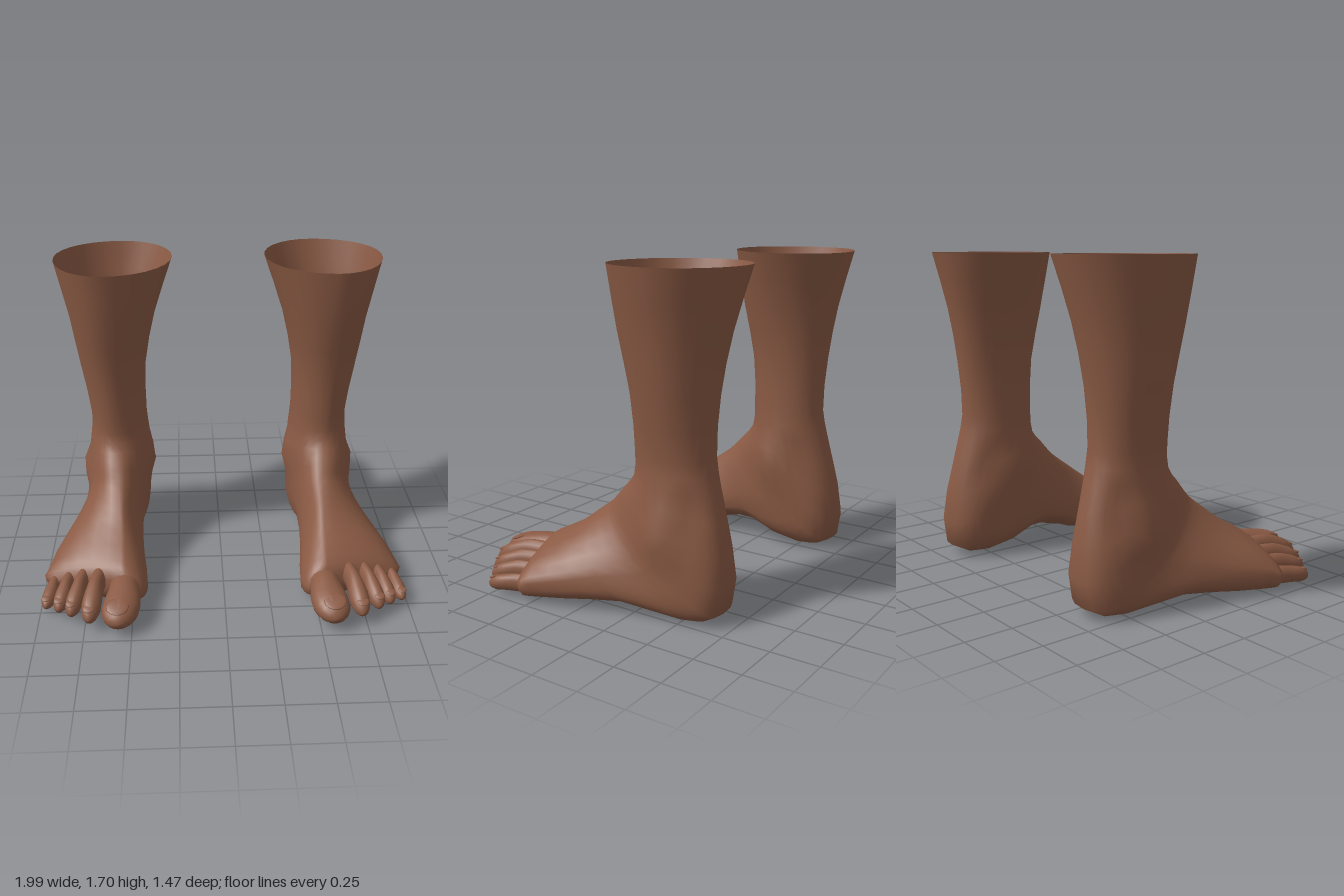
import * as THREE from 'three';

const SEG = 28;
const { smoothstep } = THREE.MathUtils;
const skin = new THREE.MeshStandardMaterial({ color: 0x8a5a44, side: THREE.DoubleSide });

// Key sections from the open leg top to the toe roots, each spanning a front point A to a back point B:
// [Ay, Az, By, Bz, inner x, outer x]
const KEYS = [
  [1.71, -.06, 1.71, -.735, .255, .905],
  [1.40, -.10, 1.40, -.655, .36, .835],
  [1.10, -.16, 1.10, -.605, .42, .79],
  [.80, -.175, .80, -.59, .425, .745],
  [.68, -.165, .65, -.62, .415, .755],
  [.60, -.095, .36, -.69, .415, .775],
  [.54, -.04, .06, -.68, .42, .785],
  [.50, 0, .015, -.52, .43, .80],
  [.43, .095, .05, -.22, .45, .86],
  [.345, .21, .02, .10, .445, .95],
  [.255, .375, .01, .36, .42, .995],
  [.205, .435, .04, .43, .45, .975],
  [.14, .455, .09, .455, .50, .93],
];
const through = (pick) => new THREE.CatmullRomCurve3(KEYS.map((k) => new THREE.Vector3(...pick(k))));
const frontCurve = through((k) => [0, k[0], k[1]]);
const backCurve = through((k) => [0, k[2], k[3]]);
const sideCurve = through((k) => [k[4], k[5], 0]);

// Local swellings and hollows: centre, radius, push in x and y
const BUMPS = [
  [.40, .50, -.36, .10, -.045, 0],   // inner ankle bone
  [.79, .43, -.42, .10, .04, 0],     // outer ankle bone
  [.44, .56, -.54, .08, .025, 0],    // hollows beside the heel tendon
  [.74, .54, -.55, .08, -.03, 0],
  [.50, .04, -.10, .17, .01, .07],   // arch
];

function bump(p) {
  const out = p.clone();
  for (const [x, y, z, r, dx, dy] of BUMPS) {
    const d = p.distanceTo(new THREE.Vector3(x, y, z)) / r;
    const k = Math.exp(-d * d);
    out.x += dx * k;
    out.y += dy * k;
  }
  return out;
}

// Rounded section between A and B: flatter under the sole, sloping outward over the instep
function sectionRing(u) {
  const A = frontCurve.getPoint(u), B = backCurve.getPoint(u), sides = sideCurve.getPoint(u);
  const instep = smoothstep(A.z, -.07, .15);
  const mid = .47 - .1 * instep;
  const topRound = 1 + .2 * instep;
  const soleRound = .64 + .34 * smoothstep(B.y, .05, .5);
  const shear = -.3 * smoothstep(A.z, .25, .45);
  const ring = [];
  for (let i = 0; i < SEG; i++) {
    const t = (i / SEG) * Math.PI * 2;
    const sn = Math.abs(Math.sin(t)), cs = Math.abs(Math.cos(t));
    const front = Math.cos(t) >= 0;
    const e = front ? topRound : soleRound;
    const cx = front ? .62 - .07 * u : .55 + .15 * u;
    const edge = Math.sin(t) >= 0 ? sides.y : sides.x;
    const x = cx + (edge - cx) * Math.pow(sn, e);
    const h = front ? mid + (1 - mid) * Math.pow(cs, e) : mid * (1 - Math.pow(cs, e));
    const p = new THREE.Vector3().lerpVectors(B, A, h);
    ring.push(bump(p.set(x, p.y, p.z + shear * (x - .6))));
  }
  return ring;
}

// Skin a list of rings, with the last ring closed to its centre
function loft(rings, side) {
  const n = rings[0].length, pos = [], idx = [];
  const tri = (a, b, c) => (side > 0 ? idx.push(a, b, c) : idx.push(a, c, b));
  for (const r of rings) for (const p of r) pos.push(p.x * side, p.y, p.z);
  for (let j = 0; j < rings.length - 1; j++) {
    for (let i = 0; i < n; i++) {
      const a = j * n + i, b = j * n + (i + 1) % n;
      tri(a, a + n, b);
      tri(b, a + n, b + n);
    }
  }
  const last = rings[rings.length - 1], c = new THREE.Vector3();
  last.forEach((p) => c.addScaledVector(p, 1 / n));
  pos.push(c.x * side, c.y, c.z);
  const base = (rings.length - 1) * n;
  for (let i = 0; i < n; i++) tri(base + i, rings.length * n, base + (i + 1) % n);
  const g = new THREE.BufferGeometry();
  g.setAttribute('position', new THREE.Float32BufferAttribute(pos, 3));
  g.setIndex(idx);
  g.computeVertexNormals();
  return g;
}

// Toes: root, knuckle, tip, half width and half height of the pad
const TOES = [
  { name: 'bigToe', pts: [[.54, .125, .34], [.545, .125, .50], [.57, .095, .735]], w: .1, h: .073 },
  { name: 'secondToe', pts: [[.67, .15, .33], [.70, .15, .50], [.722, .09, .685]], w: .052, h: .058 },
  { name: 'middleToe', pts: [[.755, .14, .30], [.79, .135, .46], [.822, .085, .62]], w: .045, h: .053 },
  { name: 'fourthToe', pts: [[.83, .115, .27], [.865, .115, .42], [.892, .075, .57]], w: .042, h: .048 },
  { name: 'littleToe', pts: [[.905, .085, .24], [.94, .085, .37], [.966, .06, .52]], w: .038, h: .042 },
];

// A narrow neck swelling into a pad, rounded off at the tip
function toeRings({ pts, w, h }) {
  const curve = new THREE.CatmullRomCurve3(pts.map((p) => new THREE.Vector3(...p)));
  const rings = [];
  for (let j = 0; j <= 12; j++) {
    const t = Math.sin((j / 12) * Math.PI * .485);
    const pad = smoothstep(t, .45, .72);
    const cap = Math.sqrt(1 - Math.max(0, (t - .75) / .25) ** 2);
    const rx = w * (.84 + .16 * pad) * cap, ry = h * (1.12 - .12 * pad) * cap;
    const c = curve.getPoint(t), ring = [];
    for (let i = 0; i < 16; i++) {
      const a = (i / 16) * Math.PI * 2;
      ring.push(new THREE.Vector3(c.x + Math.sin(a) * rx, c.y + Math.cos(a) * ry, c.z));
    }
    rings.push(ring);
  }
  return rings;
}

function buildFoot(side, name) {
  const foot = new THREE.Group();
  foot.name = name;
  const add = (geometry, part) => {
    const m = new THREE.Mesh(geometry, skin);
    m.name = part;
    foot.add(m);
    return m;
  };
  const steps = (KEYS.length - 1) * 2;
  const rings = Array.from({ length: steps + 1 }, (_, i) => sectionRing(i / steps));
  add(loft(rings, side), 'legAndFoot');
  for (const toe of TOES) {
    add(loft(toeRings(toe), side), toe.name);
    // Nail lying on the sloping end of the toe
    const [x, y, z] = toe.pts[2];
    const nail = add(new THREE.SphereGeometry(1, 14, 8), toe.name + 'Nail');
    nail.scale.set(toe.w * .6, toe.h * .14, toe.w * .55);
    nail.position.set(x * side, y + toe.h * .9, z - toe.w * .75);
    nail.rotation.x = .35;
  }
  return foot;
}

export function createModel() {
  const model = new THREE.Group();
  model.name = 'feet';
  model.add(buildFoot(1, 'leftFoot'), buildFoot(-1, 'rightFoot'));
  return model;
}
